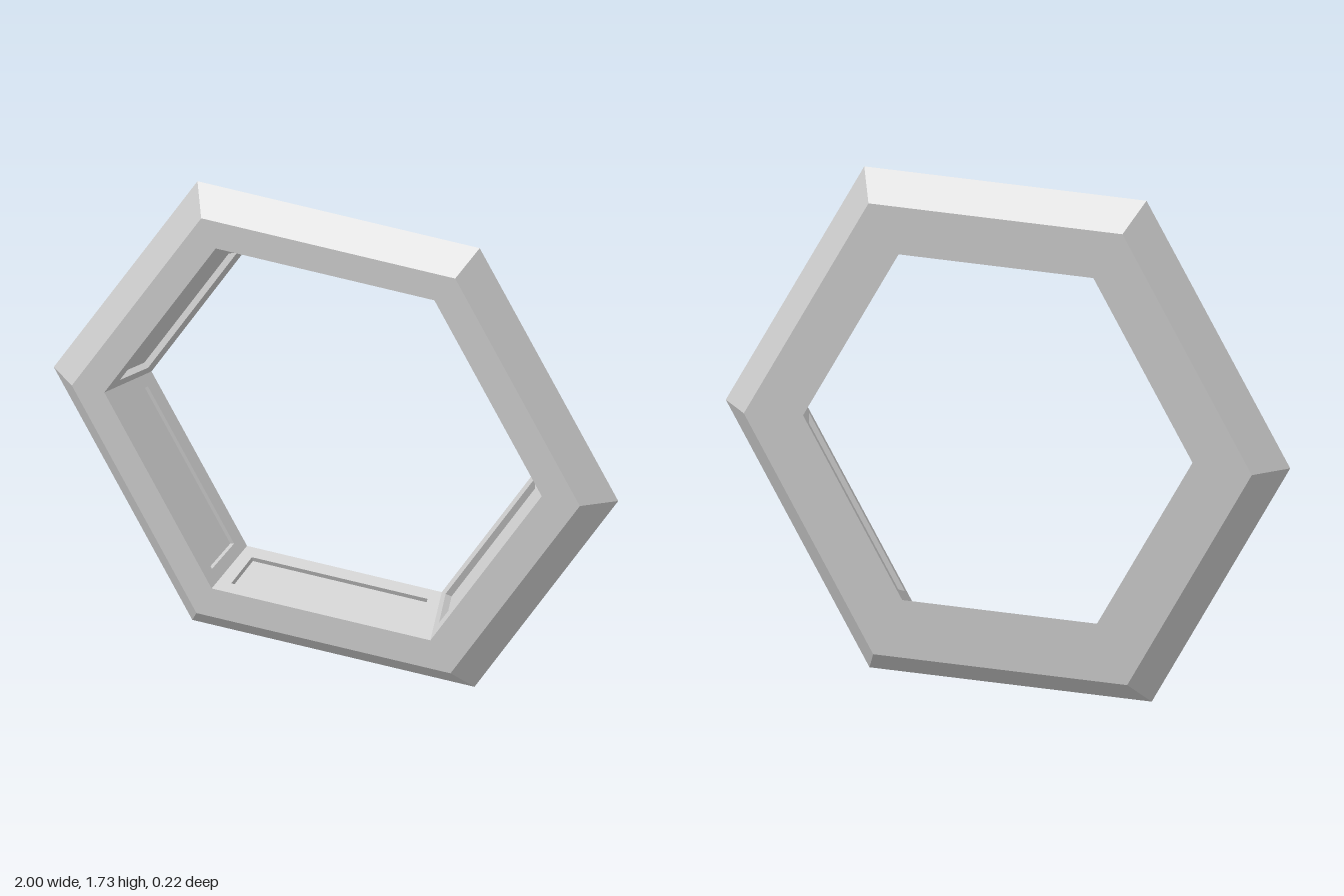
import * as THREE from 'three';

const SIDES = 6;
const CENTER_Y = 0.868;
const LEAN = 0.026; // the ring leans back slightly

// One hexagon of corner points, with a small offset of its centre
function hexagon(radius, z, ox = 0, oy = 0) {
  return Array.from({ length: SIDES }, (_, k) => {
    const a = (k / SIDES) * Math.PI * 2;
    const x = radius * Math.cos(a) + ox;
    const y = radius * Math.sin(a) + oy;
    return new THREE.Vector3(x, CENTER_Y + y, z - LEAN * y);
  });
}

// Quads joining two matching loops of points
function bridge(a, b) {
  return a.map((p, i) => {
    const j = (i + 1) % a.length;
    return [p, a[j], b[j], b[i]];
  });
}

function quadMesh(name, quads, material) {
  const points = quads.flatMap(([a, b, c, d]) => [a, b, c, a, c, d]);
  const geometry = new THREE.BufferGeometry().setFromPoints(points);
  geometry.computeVertexNormals();
  const mesh = new THREE.Mesh(geometry, material);
  mesh.name = name;
  return mesh;
}

// Point inside a quad: u along the wall, v from its front to its back
function inQuad([a, b, c, d], u, v) {
  return a.clone().lerp(b, u).lerp(d.clone().lerp(c, u), v);
}

export function createModel() {
  const group = new THREE.Group();
  group.name = 'hexagonalRing';
  const material = new THREE.MeshStandardMaterial({ color: 0xcccccc, flatShading: true });

  // Cross-section loops, from the back opening around the rim to the front opening
  const backInner = hexagon(0.69, -0.088, 0, 0.008);
  const backEdge = hexagon(0.9, -0.088, 0, -0.01);
  const ridge = hexagon(1, 0);
  const frontEdge = hexagon(0.9, 0.088, 0, 0.01);
  const frontInner = hexagon(0.775, 0.088, -0.01, 0.013);

  group.add(
    quadMesh('backFace', bridge(backInner, backEdge), material),
    quadMesh('backBevel', bridge(backEdge, ridge), material),
    quadMesh('frontBevel', bridge(ridge, frontEdge), material),
    quadMesh('frontFace', bridge(frontEdge, frontInner), material)
  );

  // Sloping inner walls, each with a sunken panel
  const DEPTH = 0.022;
  bridge(frontInner, backInner).forEach((wall, k) => {
    const opening = [[0.06, 0.19], [0.94, 0.19], [0.94, 0.8], [0.06, 0.8]]
      .map(([u, v]) => inQuad(wall, u, v));
    const normal = wall[2].clone().sub(wall[0])
      .cross(wall[3].clone().sub(wall[1])).normalize();
    const floor = opening.map((p) => p.clone().addScaledVector(normal, -DEPTH));

    const side = new THREE.Group();
    side.name = `innerWall${k + 1}`;
    side.add(
      quadMesh('panelFrame', bridge(wall, opening), material),
      quadMesh('recessSides', bridge(opening, floor), material),
      quadMesh('recessedPanel', [floor], material)
    );
    group.add(side);
  });

  return group;
}
